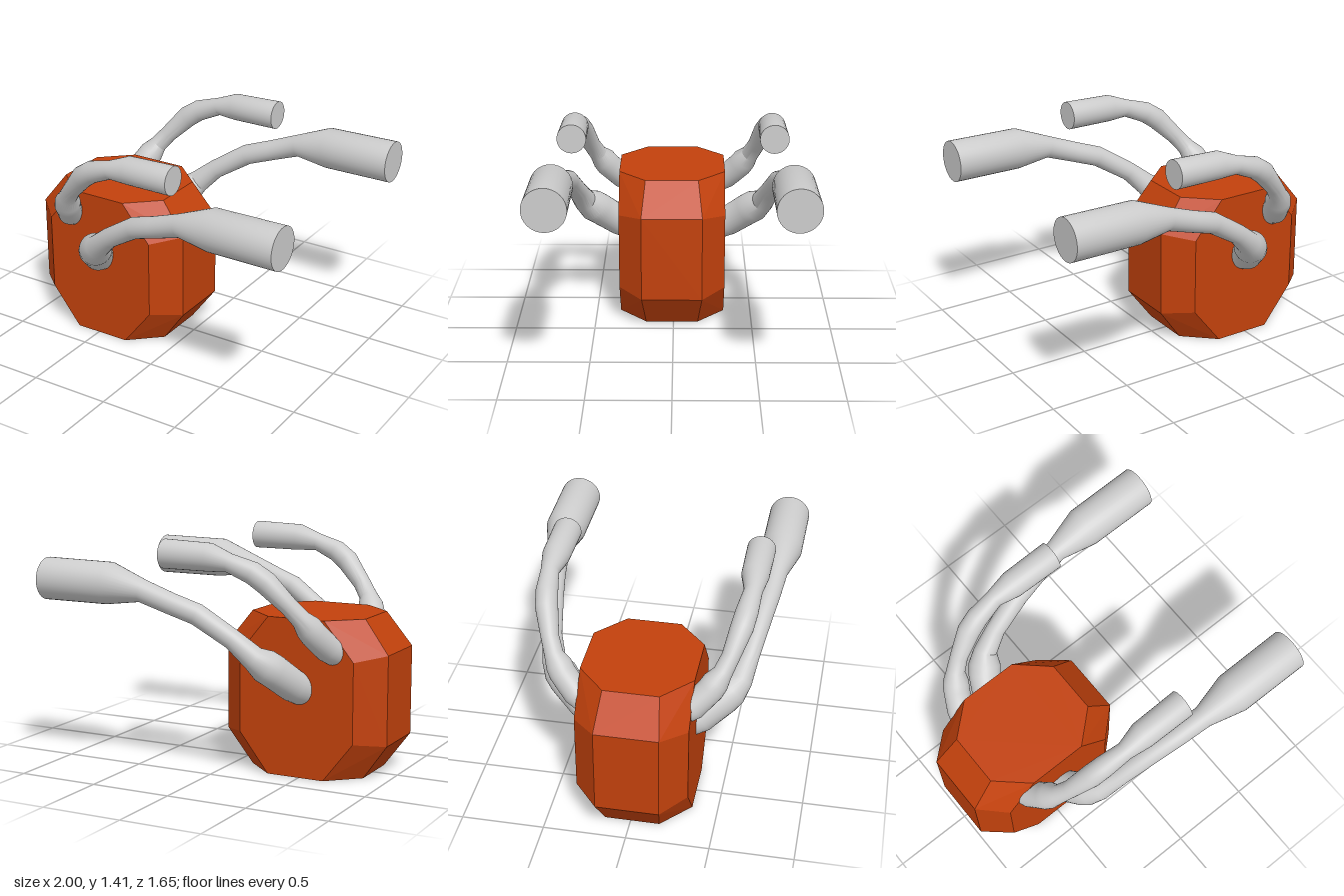
import * as THREE from 'three';
import { toCreasedNormals } from 'three/addons/utils/BufferGeometryUtils.js';
import { ConvexGeometry } from 'three/addons/geometries/ConvexGeometry.js';

const SIDES = 32;
const orange = new THREE.MeshStandardMaterial({ color: 0xc2410c });
const grey = new THREE.MeshStandardMaterial({ color: 0xcccccc });

// Box with cut side edges and corners; the long top and bottom edges stay sharp
function bodyGeometry() {
  const points = [];
  const ends = [
    { flat: 0.955, side: 0.755, face: 0.725 },
    { flat: 0, side: 0.215, face: 0.24 },
  ];
  for (const { flat, side, face } of ends)
    for (const sx of [-1, 1])
      for (const sz of [-1, 1])
        points.push(
          new THREE.Vector3(sx * 0.18, flat, sz * 0.335),
          new THREE.Vector3(sx * 0.3675, face, sz * 0.335),
          new THREE.Vector3(sx * 0.3675, flat, sz * 0.165),
          new THREE.Vector3(sx * 0.5235, side, sz * 0.19),
        );
  return new ConvexGeometry(points).translate(-0.4765, 0, 0.01);
}

// Closed round tube through rings of [x, y, z, radius]
function tubeGeometry(rings) {
  const centres = rings.map(([x, y, z]) => new THREE.Vector3(x, y, z));
  const up = new THREE.Vector3(0, 1, 0);
  const positions = [];
  const index = [];
  const last = rings.length - 1;
  const direction = (a, b) => centres[b].clone().sub(centres[a]).normalize();
  centres.forEach((c, i) => {
    const t = new THREE.Vector3();
    if (i > 0) t.add(direction(i - 1, i));
    if (i < last) t.add(direction(i, i + 1));
    t.normalize();
    const u = new THREE.Vector3().crossVectors(up, t).normalize();
    const v = new THREE.Vector3().crossVectors(t, u);
    for (let k = 0; k < SIDES; k++) {
      const a = (k / SIDES) * Math.PI * 2;
      const p = c.clone()
        .addScaledVector(u, Math.cos(a) * rings[i][3])
        .addScaledVector(v, Math.sin(a) * rings[i][3]);
      positions.push(p.x, p.y, p.z);
    }
  });
  const startCap = rings.length * SIDES;
  positions.push(...centres[0].toArray(), ...centres[last].toArray());
  for (let k = 0; k < SIDES; k++) {
    const n = (k + 1) % SIDES;
    for (let i = 0; i < last; i++) {
      const a = i * SIDES + k, b = i * SIDES + n;
      index.push(a, b, b + SIDES, a, b + SIDES, a + SIDES);
    }
    index.push(startCap, n, k, startCap + 1, last * SIDES + k, last * SIDES + n);
  }
  const geometry = new THREE.BufferGeometry();
  geometry.setAttribute('position', new THREE.Float32BufferAttribute(positions, 3));
  geometry.setIndex(index);
  geometry.computeVertexNormals();
  return toCreasedNormals(geometry, 0.5);
}

// Low, long tube with a wide outlet
const LARGE = [
  [-0.495, 0.53, 0.28, 0.096], [-0.475, 0.565, 0.36, 0.097],
  [-0.41, 0.665, 0.48, 0.1], [-0.375, 0.7, 0.52, 0.1],
  [-0.325, 0.75, 0.57, 0.073], [-0.21, 0.855, 0.605, 0.06],
  [0, 0.99, 0.645, 0.064], [0.16, 1.045, 0.67, 0.064],
  [0.34, 1.11, 0.69, 0.068], [0.56, 1.142, 0.695, 0.126],
  [1, 1.145, 0.697, 0.128],
];

// High, short tube with a narrower outlet
const SMALL = [
  [-0.71, 0.765, 0.28, 0.078], [-0.69, 0.8, 0.345, 0.08],
  [-0.64, 0.895, 0.435, 0.08], [-0.62, 0.935, 0.46, 0.078],
  [-0.59, 0.985, 0.495, 0.057], [-0.53, 1.06, 0.53, 0.054],
  [-0.41, 1.19, 0.575, 0.068], [-0.33, 1.245, 0.59, 0.066],
  [-0.19, 1.295, 0.605, 0.055], [-0.06, 1.32, 0.6, 0.083],
  [0.24, 1.325, 0.6, 0.087],
];

export function createModel() {
  const group = new THREE.Group();
  const add = (name, geometry, material) => {
    const mesh = new THREE.Mesh(geometry, material);
    mesh.name = name;
    group.add(mesh);
  };

  add('body', bodyGeometry(), orange);

  // Matching pair of tubes on the front and back of the body
  for (const [label, side] of [['front', 1], ['back', -1]]) {
    const mirrored = (rings) => rings.map(([x, y, z, r]) => [x, y, z * side, r]);
    add(label + 'LargeTube', tubeGeometry(mirrored(LARGE)), grey);
    add(label + 'SmallTube', tubeGeometry(mirrored(SMALL)), grey);
  }
  return group;
}
